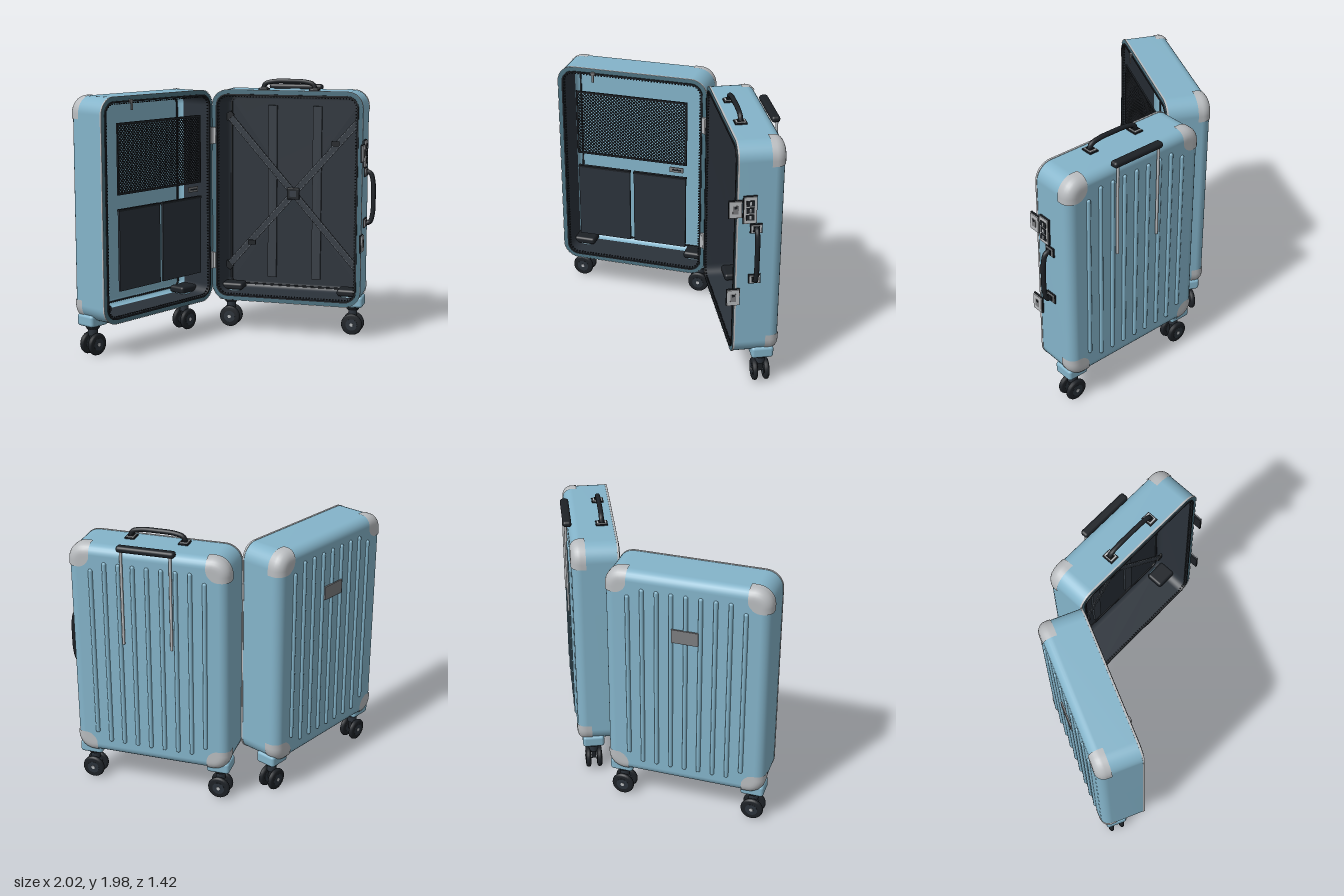
import * as THREE from 'three';
import { mergeGeometries } from 'three/addons/utils/BufferGeometryUtils.js';
import { RoundedBoxGeometry } from 'three/addons/geometries/RoundedBoxGeometry.js';

const mat = (name, color, side = THREE.FrontSide) =>
  Object.assign(new THREE.MeshStandardMaterial({ color, side }), { name });
const blue = mat('shell blue', 0x84b4ca), teal = mat('rim teal', 0x4c7180);
const silver = mat('corner silver', 0xb9bcbf), plateGrey = mat('plate grey', 0x7c7d80);
const lining = mat('lining slate', 0x2b323a), black = mat('trim black', 0x1d2126);
const strapGrey = mat('strap slate', 0x353c44), stitch = mat('stitch grey', 0x7d858c);

// Each half: width, height, depth, centre height, corner radius, back edge radius
const W = 1.16, H = 1.63, D = 0.33, CY = 1.075, R = 0.12, F = 0.07;

function add(parent, name, geo, material, x = 0, y = 0, z = 0) {
  const m = new THREE.Mesh(geo, material);
  m.name = name;
  m.position.set(x, y, z);
  parent.add(m);
  return m;
}
const box = (w, h, d) => new THREE.BoxGeometry(w, h, d);
const rbox = (w, h, d, r) => new RoundedBoxGeometry(w, h, d, 3, r);

// Skin over rows of points; cap is 'start', 'end' or none
function skin(rows, closed, cap, flat) {
  const n = rows[0].length, pos = rows.flat(2), idx = [];
  for (let i = 0; i < rows.length - 1; i++)
    for (let j = 0; j < (closed ? n : n - 1); j++) {
      const a = i * n + j, b = i * n + (j + 1) % n;
      idx.push(a, a + n, b, b, a + n, b + n);
    }
  if (cap) {
    const row = cap === 'start' ? 0 : rows.length - 1, c = pos.length / 3;
    pos.push(0, 0, rows[row][0][2]);
    for (let j = 0; j < n; j++) {
      const a = row * n + j, b = row * n + (j + 1) % n;
      if (cap === 'start') idx.push(c, a, b); else idx.push(c, b, a);
    }
  }
  let g = new THREE.BufferGeometry();
  g.setAttribute('position', new THREE.Float32BufferAttribute(pos, 3));
  g.setIndex(idx);
  if (flat) g = g.toNonIndexed();
  g.computeVertexNormals();
  return g;
}

// Rounded rectangle at a given inset
function outline(inset, z) {
  const r = Math.max(R - inset, 0.02), a = W / 2 - inset - r, b = H / 2 - inset - r, pts = [];
  [[1, 1], [-1, 1], [-1, -1], [1, -1]].forEach(([sx, sy], k) => {
    for (let i = 0; i <= 8; i++) {
      const t = (k + i / 8) * Math.PI / 2;
      pts.push([sx * a + r * Math.cos(t), sy * b + r * Math.sin(t), z]);
    }
  });
  return pts;
}
const loft = (profile, cap, flat) => skin(profile.map(p => outline(p[0], p[1])), true, cap, flat);

// Quarter-round profile from a side wall to the back
const fillet = (inset, back, f) => Array.from({ length: 7 }, (_, i) => {
  const t = i / 6 * Math.PI / 2;
  return [inset + f * (1 - Math.cos(t)), back + f * (1 - Math.sin(t))];
});

// Corner guard hugging the shell, rounded off on the back face
function cornerGuard(sx, sy) {
  const profile = [[0, -0.225], ...fillet(0, -D, F)];
  for (let i = 1; i <= 6; i++) profile.push([0.08 + 0.0565 * i / 6, -D]);
  const rows = profile.map(([t, z]) => {
    const E = t <= 0.08 ? 0.16 : 0.08 + Math.sqrt(0.0064 - (t - 0.08) ** 2);
    const r = Math.max(Math.min(R - t, E - t), 0.001), o = 0.005, x = W / 2 - t, y = H / 2 - t;
    const row = [[x + o, H / 2 - E, z - o]];
    for (let i = 0; i <= 8; i++) {
      const a = i / 8 * Math.PI / 2;
      row.push([x - r + (r + o) * Math.cos(a), y - r + (r + o) * Math.sin(a), z - o]);
    }
    row.push([W / 2 - E, y + o, z - o]);
    const out = row.map(p => [p[0] * sx, p[1] * sy, p[2]]);
    return sx * sy < 0 ? out.reverse() : out;
  });
  return skin(rows, false);
}

// Twin-wheel caster under a blue housing
function caster(parent, x, z) {
  const g = new THREE.Group();
  g.name = 'caster';
  g.position.set(x, 0, z);
  parent.add(g);
  add(g, 'casterHousing', rbox(0.17, 0.09, 0.16, 0.022), blue, 0, 0.267);
  add(g, 'casterSwivel', new THREE.CylinderGeometry(0.06, 0.045, 0.03, 20), black, 0, 0.21);
  add(g, 'casterStem', new THREE.CylinderGeometry(0.035, 0.035, 0.06, 16), lining, 0, 0.175);
  add(g, 'casterFork', box(0.035, 0.09, 0.035), black, 0, 0.12);
  const tyre = new THREE.LatheGeometry([[0, -0.018], [0.068, -0.018], [0.079, -0.012], [0.083, 0],
    [0.079, 0.012], [0.068, 0.018], [0, 0.018]].map(p => new THREE.Vector2(...p)), 28).rotateX(Math.PI / 2);
  for (const s of [-1, 1]) {
    add(g, 'wheel', tyre, black, 0, 0.083, s * 0.042);
    add(g, 'wheelHub', new THREE.CylinderGeometry(0.045, 0.045, 0.04, 20).rotateX(Math.PI / 2), lining, 0, 0.083, s * 0.042);
  }
  add(g, 'axle', new THREE.CylinderGeometry(0.014, 0.014, 0.13, 10).rotateX(Math.PI / 2), silver, 0, 0.083);
}

// Carry handle lying along x and rising in y
function carryHandle(parent, x, y, z, turn) {
  const g = new THREE.Group();
  g.name = 'carryHandle';
  g.position.set(x, y, z);
  g.rotation.z = turn;
  parent.add(g);
  const path = new THREE.CatmullRomCurve3([[-0.2, 0.01], [-0.185, 0.045], [-0.12, 0.064], [0, 0.068],
    [0.12, 0.064], [0.185, 0.045], [0.2, 0.01]].map(p => new THREE.Vector3(p[0], p[1], 0)));
  add(g, 'handleGrip', new THREE.TubeGeometry(path, 40, 0.018, 10), black);
  for (const s of [-1, 1]) {
    add(g, 'handleMountBase', box(0.07, 0.012, 0.085), black, s * 0.195, 0.004);
    add(g, 'handleMount', box(0.055, 0.014, 0.07), silver, s * 0.195, 0.009);
    add(g, 'handleSocket', box(0.04, 0.02, 0.045), black, s * 0.195, 0.012);
  }
}

// One half of the case; s is the side of the hinge it extends to
function half(name, s, backLining) {
  const g = new THREE.Group(), body = new THREE.Group();
  g.name = name;
  body.name = 'shell';
  body.position.set(s * W / 2, CY, 0);
  g.add(body);
  const inner = fillet(0.04, -D + 0.02, 0.05).reverse();
  add(body, 'outerShell', loft([[0, 0], ...fillet(0, -D, F)], 'end'), blue);
  add(body, 'rim', loft([[0.03, 0], [0, 0]]), teal);
  add(body, 'zipTape', loft([[0.04, -0.004], [0.03, 0]]), lining);
  add(body, 'wallLining', loft([inner[6], [0.04, -0.004]]), lining);
  add(body, 'backLining', loft(inner, 'start'), backLining);
  add(body, 'seamFrame', loft([[0, 0.002], [-0.003, 0.002], [-0.003, -0.012], [0, -0.012]], null, true), silver);
  for (const [i, z] of [[0.036, 0], [0.07, -D + 0.022]])
    add(body, 'piping', loft([[i + 0.006, z - 0.006], [i + 0.006, z + 0.008], [i - 0.006, z + 0.008], [i - 0.006, z - 0.006]], null, true), black);
  // Zip teeth spaced along the opening
  const pts = outline(0.05, -0.006).map(p => new THREE.Vector3(...p)), path = new THREE.CurvePath();
  pts.forEach((p, i) => path.add(new THREE.LineCurve3(p, pts[(i + 1) % pts.length])));
  add(body, 'zipTeeth', mergeGeometries(path.getSpacedPoints(220).map(p =>
    box(0.008, 0.008, 0.01).translate(p.x, p.y, p.z))), black);
  for (const sx of [-1, 1]) for (const sy of [-1, 1]) add(body, 'cornerGuard', cornerGuard(sx, sy), silver);
  // Raised back ribs
  for (let i = -4; i <= 4; i++) {
    const len = Math.abs(i) === 4 ? 1.26 : 1.38;
    add(body, 'rib', new THREE.CapsuleGeometry(0.016, len, 4, 10), blue, i * 0.103, 0, -D);
  }
  for (const x of [0.09, W - 0.09]) caster(g, s * x, -0.22);
  for (const x of [0.12, W - 0.12]) add(g, 'casterWell', rbox(0.17, 0.055, 0.14, 0.02), black, s * x, 0.335, -0.2);
  for (const y of [0.57, 1.54]) add(g, 'hingeLeaf', box(0.03, 0.125, 0.014), silver, s * 0.014, y, 0.006);
  return g;
}

// Crossed wires clipped to a rectangle
function netGeometry(w, h) {
  const wires = [];
  for (let c = -h; c < w; c += 0.026) {
    const x0 = Math.max(c, 0), x1 = Math.min(c + h, w), len = (x1 - x0) * Math.SQRT2;
    if (len < 0.01) continue;
    for (const m of [1, -1])
      wires.push(box(len, 0.007, 0.004).rotateZ(m * Math.PI / 4)
        .translate((x0 + x1 - w) / 2, m * ((x0 + x1) / 2 - c - h / 2), 0));
  }
  return mergeGeometries(wires);
}

export function createModel() {
  const model = new THREE.Group();
  model.name = 'openSuitcase';
  const base = half('backHalf', 1, lining), door = half('hingedHalf', -1, blue);
  for (const g of [base, door]) g.position.set(-0.237, 0, -0.347);
  door.rotation.y = 1.137;
  model.add(base, door);
  for (const y of [0.57, 1.54])
    add(model, 'hingePin', new THREE.CylinderGeometry(0.016, 0.016, 0.13, 12), silver, -0.24, y, -0.34);

  // Handle channels and crossed straps in the back half
  const cx = W / 2;
  for (const s of [-1, 1]) {
    add(base, 'handleChannel', box(0.07, 1.36, 0.02), strapGrey, cx + s * 0.177, CY, -D + 0.028);
    const strap = new THREE.Group();
    strap.name = 'strap';
    strap.position.set(cx, CY, -0.265 + s * 0.004);
    strap.rotation.z = s * Math.atan2(1.21, 1.06);
    base.add(strap);
    add(strap, 'strapWebbing', box(1.63, 0.052, 0.006), strapGrey);
    const dashes = [];
    for (let i = -22; i <= 22; i++) for (const e of [-0.02, 0.02])
      dashes.push(box(0.02, 0.003, 0.002).translate(i * 0.035, e, 0.004));
    add(strap, 'strapStitching', mergeGeometries(dashes), stitch);
    for (const e of [-0.79, 0.79]) add(strap, 'strapAnchor', box(0.04, 0.07, 0.014), black, e);
  }
  add(base, 'strapBuckle', rbox(0.1, 0.09, 0.024, 0.008), black, cx, CY, -0.255);
  add(base, 'buckleInset', box(0.05, 0.045, 0.006), strapGrey, cx, CY, -0.243);
  for (const s of [-1, 1]) add(base, 'strapAdjuster', box(0.06, 0.036, 0.02), black, cx + s * 0.33, CY + s * 0.4, -0.255);

  // Telescopic handle
  add(base, 'pullGrip', rbox(0.42, 0.045, 0.062, 0.02), black, cx, 1.9, -0.335);
  for (const s of [-1, 1])
    add(base, 'pullRod', new THREE.CylinderGeometry(0.01, 0.01, 0.7, 12), silver, cx + s * 0.177, 1.54, -0.347);

  // Carry handles, latches and combination lock
  carryHandle(base, cx, CY + H / 2, -0.09, 0);
  carryHandle(base, W, 1.09, -0.135, -Math.PI / 2);
  for (const y of [0.76, 1.44]) {
    add(base, 'latchBase', box(0.014, 0.13, 0.095), black, W + 0.005, y, 0.012);
    add(base, 'latch', box(0.012, 0.12, 0.085), silver, W + 0.014, y, 0.012);
    add(base, 'latchSlot', box(0.008, 0.06, 0.04), plateGrey, W + 0.018, y, 0.012);
    add(base, 'latchKeyway', box(0.004, 0.016, 0.02), black, W + 0.023, y + 0.018, 0.012);
  }
  add(base, 'lockBase', box(0.014, 0.205, 0.095), black, W + 0.005, 1.43, -0.088);
  add(base, 'lockFace', box(0.01, 0.195, 0.085), silver, W + 0.014, 1.43, -0.088);
  for (let i = -1; i <= 1; i++) {
    add(base, 'lockDial', box(0.01, 0.042, 0.055), black, W + 0.018, 1.43 + i * 0.052, -0.088);
    add(base, 'lockDialRoller', box(0.01, 0.026, 0.012), silver, W + 0.02, 1.43 + i * 0.052, -0.088);
  }

  // Net pocket, solid pockets, label and zip pull in the hinged half
  add(door, 'netPocket', netGeometry(0.86, 0.5), black, -cx, 1.45, 0.005);
  for (const s of [-1, 1]) {
    add(door, 'netHem', box(0.872, 0.014, 0.012), black, -cx, 1.45 + s * 0.25, 0.005);
    add(door, 'netEdge', box(0.012, 0.5, 0.012), black, -cx + s * 0.43, 1.45, 0.005);
    add(door, 'pocket', box(0.415, 0.59, 0.018), lining, -cx + s * 0.223, 0.79, 0.005);
    add(door, 'pocketHem', box(0.42, 0.016, 0.026), black, -cx + s * 0.223, 1.083, 0.005);
  }
  add(door, 'label', box(0.105, 0.04, 0.008), plateGrey, -0.225, 1.147, 0.004);
  add(door, 'labelMark', box(0.07, 0.012, 0.004), black, -0.225, 1.147, 0.008);
  add(door, 'zipSlider', box(0.03, 0.025, 0.016), plateGrey, -0.876, 1.855, 0.008);
  add(door, 'zipPull', box(0.016, 0.06, 0.008), plateGrey, -0.876, 1.82, 0.014);
  add(door, 'backPlate', box(0.19, 0.1, 0.012), plateGrey, -cx, 1.47, -D - 0.017);
  return model;
}
